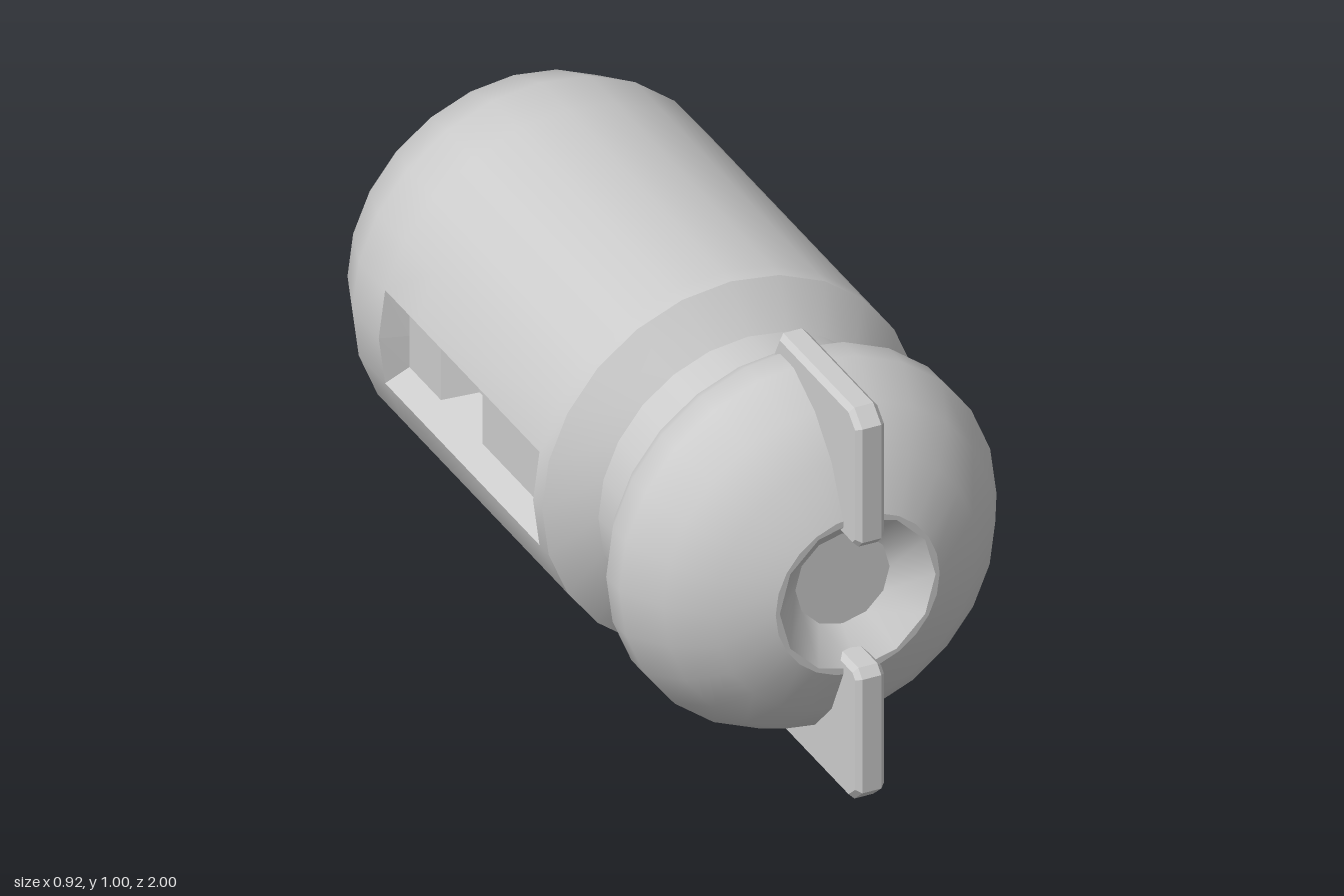
import * as THREE from 'three';
import { mergeGeometries, toCreasedNormals } from 'three/addons/utils/BufferGeometryUtils.js';

const SIDES = 24, STEP = Math.PI * 2 / SIDES;
const R = 0.46;

const smooth = new THREE.MeshStandardMaterial({ color: 0xcccccc });
const faceted = new THREE.MeshStandardMaterial({ color: 0xcccccc, flatShading: true, side: THREE.DoubleSide });

// Part of a body of revolution around z; profile is [z, radius] from back to front.
// Facet 0 starts at the underside, facet 6 at +x.
function turned(profile, first = 0, count = SIDES, step = STEP) {
  const points = profile.map(([z, r]) => new THREE.Vector2(r, z));
  return new THREE.LatheGeometry(points, count, first * step, count * step).rotateX(Math.PI / 2);
}

function mesh(name, geometry, material = smooth) {
  const m = new THREE.Mesh(geometry, material);
  m.name = name;
  return m;
}

// Loop of six points around a recess opening, facing +x
function recessLoop(z0, z1, v, x, bulge = 0) {
  return [[x, -v, z0], [x + bulge, 0, z0], [x, v, z0], [x, v, z1], [x + bulge, 0, z1], [x, -v, z1]];
}

// Bevelled window with a floor and a deeper tapered pocket
function recess(front, back, pocketFront, pocketBack) {
  const x = R * Math.cos(STEP), v = R * Math.sin(STEP), floor = 0.395, deep = 0.33;
  const loops = [
    recessLoop(front, back, v, x, R - x),
    recessLoop(front - 0.035, back + 0.02, 0.08, floor),
    recessLoop(pocketFront, pocketBack, 0.08, floor),
    recessLoop(pocketFront - 0.075, pocketBack + 0.06, 0.045, deep),
  ];
  const index = [];
  for (let k = 0; k < loops.length - 1; k++) {
    for (let i = 0; i < 6; i++) {
      const a = k * 6 + i, b = k * 6 + (i + 1) % 6;
      index.push(a, a + 6, b, b, a + 6, b + 6);
    }
  }
  const last = (loops.length - 1) * 6;
  for (let i = 1; i < 5; i++) index.push(last, last + i + 1, last + i);
  const g = new THREE.BufferGeometry();
  g.setAttribute('position', new THREE.Float32BufferAttribute(loops.flat(2), 3));
  g.setIndex(index);
  g.computeVertexNormals();
  return g;
}

// Flat front ring joining the round nose to the twelve-sided socket
function noseRing() {
  const polygon = (r, n) => Array.from({ length: n }, (_, i) => {
    const a = i * Math.PI * 2 / n;
    return new THREE.Vector2(r * Math.cos(a), r * Math.sin(a));
  });
  const shape = new THREE.Shape(polygon(0.2, SIDES));
  shape.holes.push(new THREE.Path(polygon(0.19, 12)));
  return new THREE.ShapeGeometry(shape).translate(0, 0, 0.93);
}

// Bevelled fin, drawn in the z-y plane
function finGeometry() {
  const outline = [[0.61, 0.5], [0.96, 0.5], [1, 0.465], [1, 0.175], [0.98, 0.155],
    [0.88, 0.155], [0.55, 0.3], [0.53, 0.35]];
  const shape = new THREE.Shape(outline.map(([z, y]) => new THREE.Vector2(z, y)));
  const g = new THREE.ExtrudeGeometry(shape, {
    depth: 0.046, bevelEnabled: true, bevelSegments: 1,
    bevelSize: 0.012, bevelThickness: 0.012, bevelOffset: -0.012,
  });
  return g.translate(0, 0, -0.023).rotateY(-Math.PI / 2);
}

// Upright capsule-shaped pad with bevelled edges
function padGeometry() {
  const r = 0.13, shape = new THREE.Shape();
  shape.absarc(0, 0.145 - r, r, 0, Math.PI);
  shape.absarc(0, -0.44 + r, r, Math.PI, Math.PI * 2);
  const g = new THREE.ExtrudeGeometry(shape, {
    depth: 0.2, curveSegments: 6, bevelEnabled: true, bevelSegments: 1,
    bevelSize: 0.03, bevelThickness: 0.038, bevelOffset: -0.03,
  });
  return toCreasedNormals(g.translate(0, 0, -0.962), 0.6);
}

export function createModel() {
  const root = new THREE.Group();
  const model = new THREE.Group();
  model.name = 'capsule';
  model.position.y = 0.5;
  root.add(model);

  // Body: rear dome, barrel with three window gaps, front collar
  const band = (z0, z1, first, count) => turned([[z0, R], [z1, R]], first, count);
  const body = mergeGeometries([
    turned([[-0.928, 0], [-0.92, 0.14], [-0.878, 0.295], [-0.765, 0.405], [-0.63, R]]),
    band(-0.63, -0.5, 1, 22),
    band(-0.5, -0.35, 1, 4), band(-0.5, -0.35, 7, 10), band(-0.5, -0.35, 19, 4),
    band(-0.35, 0.26, 7, 10), band(-0.35, 0.26, 19, 10),
    turned([[0.26, R], [0.305, R], [0.39, 0.365]]),
  ]);
  model.add(mesh('body', toCreasedNormals(body, 0.6)));
  model.add(mesh('neck', turned([[0.37, 0.365], [0.59, 0.365]])));

  // Head with a sunken socket
  const head = turned([[0.57, 0.36], [0.57, 0.43], [0.62, R], [0.685, R],
    [0.79, 0.405], [0.872, 0.32], [0.93, 0.2]]);
  model.add(mesh('head', toCreasedNormals(head, 0.6)));
  model.add(mesh('noseRing', noseRing()));
  const socket = turned([[0.93, 0.19], [0.855, 0.115], [0.855, 0]], 3, 12, Math.PI / 6);
  model.add(mesh('noseSocket', toCreasedNormals(socket, 0.6)));

  // Side windows and underside slot
  const side = recess(0.26, -0.5, -0.12, -0.325);
  const left = mesh('leftWindow', side, faceted);
  const right = mesh('rightWindow', side, faceted);
  right.rotation.z = Math.PI;
  const slot = mesh('undersideSlot', recess(-0.35, -0.63, -0.4, -0.58), faceted);
  slot.rotation.z = -Math.PI / 2;
  model.add(left, right, slot);

  // Fins above and below the head
  const fin = finGeometry();
  const topFin = mesh('topFin', fin, faceted);
  const bottomFin = mesh('bottomFin', fin, faceted);
  bottomFin.rotation.z = Math.PI;
  model.add(topFin, bottomFin);

  model.add(mesh('rearPad', padGeometry()));
  return root;
}
